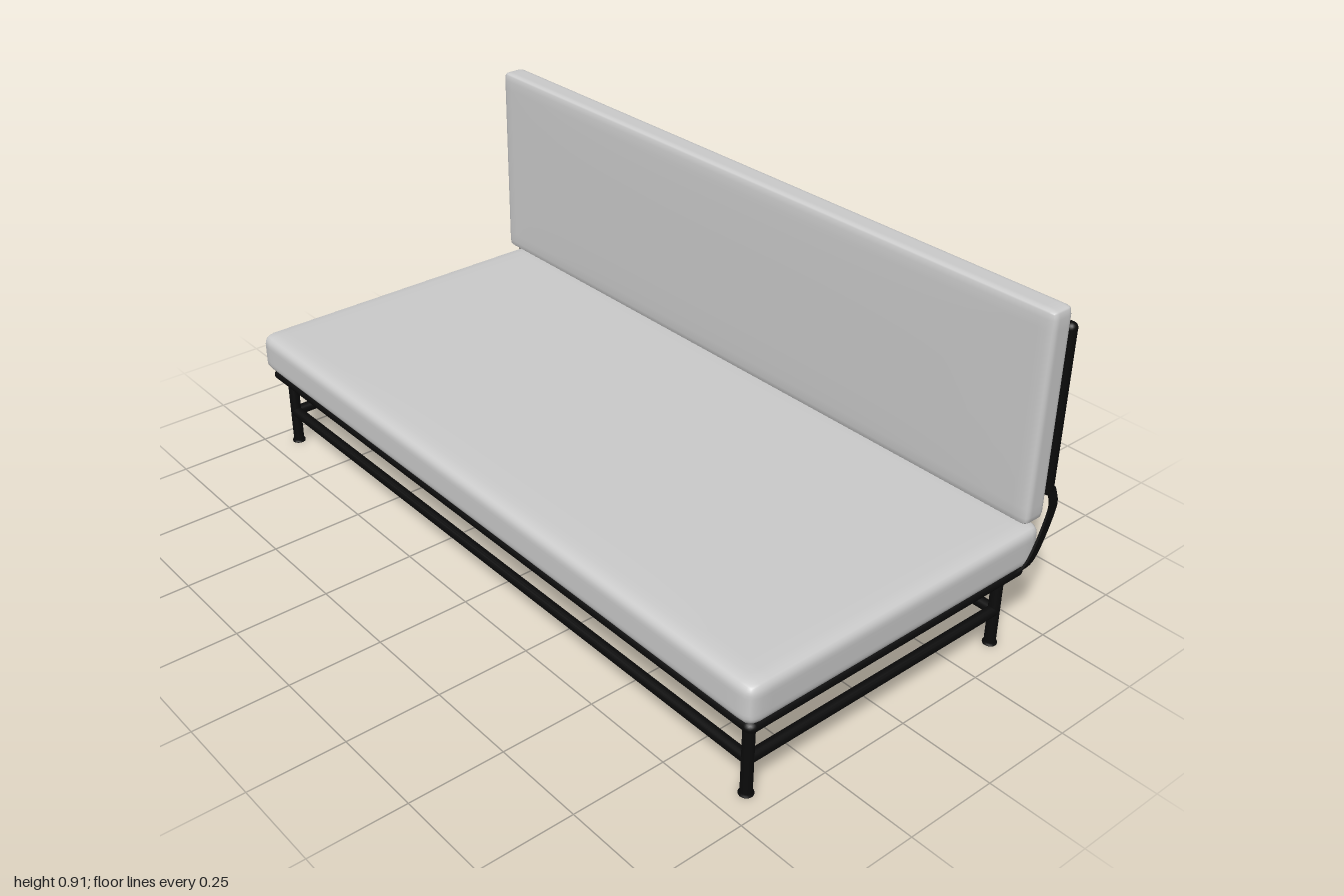
import * as THREE from 'three';
import { mergeVertices } from 'three/addons/utils/BufferGeometryUtils.js';

const fabric = new THREE.MeshStandardMaterial({ color: 0xcccccc });
const metal = new THREE.MeshStandardMaterial({ color: 0x0a0a0a });

function add(parent, name, geometry, material) {
  const mesh = new THREE.Mesh(geometry, material);
  mesh.name = name;
  parent.add(mesh);
  return mesh;
}

// Soft box: edges rounded by a radius per axis, faces crowned along one axis
function cushion(size, radius, crownAxis, crown) {
  let g = new THREE.BoxGeometry(2, 2, 2, 32, 16, 24);
  g.deleteAttribute('uv');
  g.deleteAttribute('normal');
  g = mergeVertices(g);
  const p = g.attributes.position;
  const axes = [0, 1, 2];
  for (let i = 0; i < p.count; i++) {
    const t = axes.map((a) => Math.sin(p.getComponent(i, a) * Math.PI / 2)); // denser at the edges
    const core = axes.map((a) => size[a] / 2 - radius[a]);
    const q = axes.map((a) => t[a] * size[a] / 2);
    const inner = axes.map((a) => THREE.MathUtils.clamp(q[a], -core[a], core[a]));
    const d = new THREE.Vector3(...axes.map((a) => (q[a] - inner[a]) / radius[a])).normalize();
    const out = axes.map((a) => inner[a] + d.getComponent(a) * radius[a]);
    const fall = axes.reduce((f, a) => (a === crownAxis ? f : f * (1 - t[a] ** 4)), 1);
    out[crownAxis] += crown * t[crownAxis] * fall;
    p.setXYZ(i, ...out);
  }
  g.computeVertexNormals();
  return g;
}

// Round-ended rod between two points
function rod(parent, name, a, b, r) {
  const from = new THREE.Vector3(...a), to = new THREE.Vector3(...b);
  const dir = to.clone().sub(from);
  const mesh = add(parent, name, new THREE.CapsuleGeometry(r, dir.length(), 6, 16), metal);
  mesh.position.copy(from).add(to).multiplyScalar(0.5);
  mesh.quaternion.setFromUnitVectors(new THREE.Vector3(0, 1, 0), dir.normalize());
  return mesh;
}

// Closed loop of rods through the corners
function rodLoop(parent, name, corners, r) {
  corners.forEach((c, i) => rod(parent, name, c, corners[(i + 1) % corners.length], r));
}

const rectangle = (x, y, zFront, zBack) => [[-x, y, zFront], [x, y, zFront], [x, y, zBack], [-x, y, zBack]];

// Thin flat bar that steps out around the seat and up to the back frame
function bracket(side) {
  const path = new THREE.CatmullRomCurve3([
    [0.962, 0.212, -0.385], [0.985, 0.235, -0.392], [0.996, 0.26, -0.405],
    [0.997, 0.37, -0.459], [0.995, 0.4, -0.466], [0.984, 0.43, -0.467],
  ].map((v) => new THREE.Vector3(...v)));
  const g = new THREE.BoxGeometry(0.006, 1, 0.026, 1, 24, 1);
  const p = g.attributes.position;
  for (let i = 0; i < p.count; i++) {
    const c = path.getPoint(p.getY(i) + 0.5);
    p.setXYZ(i, p.getX(i) + side * c.x, c.y, p.getZ(i) + c.z);
  }
  g.computeVertexNormals();
  return g;
}

export function createModel() {
  const model = new THREE.Group();
  model.name = 'sofa';

  // Cushions
  add(model, 'seatCushion', cushion([1.98, 0.112, 0.93], [0.03, 0.028, 0.035], 1, 0.003), fabric)
    .position.set(0, 0.288, 0.015);
  add(model, 'backCushion', cushion([1.98, 0.55, 0.07], [0.02, 0.014, 0.018], 2, 0.004), fabric)
    .position.set(0, 0.635, -0.413);

  // Seat frame: slightly flattened rails
  const seatFrame = new THREE.Group();
  seatFrame.name = 'seatFrame';
  model.add(seatFrame);
  rodLoop(seatFrame, 'seatRail', rectangle(0.957, 0, 0.444, -0.404), 0.021);
  seatFrame.scale.y = 0.75;
  seatFrame.position.y = 0.215;

  // Legs with small flared feet
  const legZ = [0.425, -0.379];
  const legProfile = [[0, 0], [0.018, 0], [0.018, 0.003], [0.0145, 0.007], [0.0145, 0.21], [0, 0.21]]
    .map(([r, y]) => new THREE.Vector2(r, y));
  for (const x of [-0.935, 0.935]) {
    for (const z of legZ) {
      add(model, 'leg', new THREE.LatheGeometry(legProfile, 20), metal).position.set(x, 0, z);
    }
  }

  // Stretchers between the legs
  rodLoop(model, 'stretcher', rectangle(0.935, 0.097, ...legZ), 0.0145);

  // Back frame and its side brackets
  const backFrame = new THREE.Group();
  backFrame.name = 'backFrame';
  model.add(backFrame);
  rodLoop(backFrame, 'backRail',
    [[-0.975, 0.425, -0.465], [0.975, 0.425, -0.465], [0.975, 0.843, -0.465], [-0.975, 0.843, -0.465]], 0.015);
  for (const side of [-1, 1]) add(model, 'backBracket', bracket(side), metal);

  return model;
}
